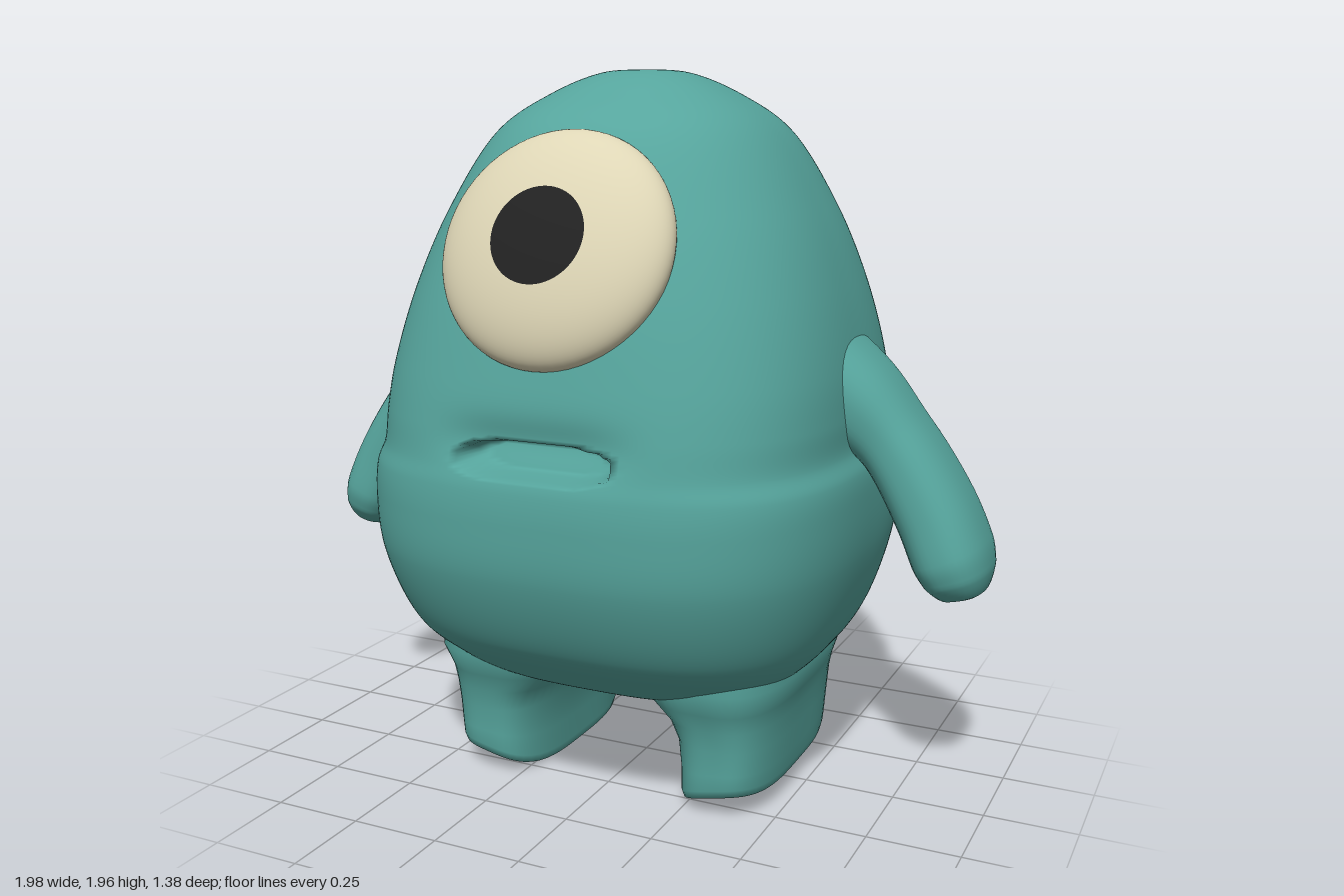
import * as THREE from 'three';

const skin = new THREE.MeshStandardMaterial({ color: 0x56a59d });
skin.name = 'teal skin';
const cream = new THREE.MeshStandardMaterial({ color: 0xded6b6 });
cream.name = 'cream eye';
const black = new THREE.MeshStandardMaterial({ color: 0x222222 });
black.name = 'black pupil';

const Z = new THREE.Vector3(0, 0, 1);

// Rounded-square ring: centre c, half-axis a along the vector ax, half-axis b along z
function ring(c, ax, a, b, n, seg) {
  return Array.from({ length: seg }, (_, j) => {
    const t = (j / seg) * Math.PI * 2;
    const cs = Math.cos(t), sn = Math.sin(t);
    const r = Math.pow(Math.abs(cs) ** n + Math.abs(sn) ** n, -1 / n);
    return c.clone().addScaledVector(ax, a * r * cs).addScaledVector(Z, b * r * sn);
  });
}

// Smooth closed skin through successive rings
function loft(rings) {
  const seg = rings[0].length, pos = [], idx = [];
  rings.forEach(r => r.forEach(p => pos.push(p.x, p.y, p.z)));
  for (let i = 0; i < rings.length - 1; i++) {
    for (let j = 0; j < seg; j++) {
      const k = (j + 1) % seg;
      const a = i * seg + j, b = i * seg + k, c = a + seg, d = b + seg;
      idx.push(a, c, b, b, c, d);
    }
  }
  const g = new THREE.BufferGeometry();
  g.setAttribute('position', new THREE.Float32BufferAttribute(pos, 3));
  g.setIndex(idx);
  g.computeVertexNormals();
  return g;
}

function mesh(name, geometry, material) {
  const m = new THREE.Mesh(geometry, material);
  m.name = name;
  return m;
}

// Egg-shaped body: height, half width, half depth
function bodyGeometry() {
  const profile = new THREE.CatmullRomCurve3([
    [0.295, 0.002, 0.002], [0.295, 0.24, 0.22], [0.325, 0.43, 0.37], [0.4, 0.54, 0.48],
    [0.5, 0.605, 0.585], [0.7, 0.662, 0.675], [0.85, 0.672, 0.69], [0.935, 0.665, 0.686],
    [0.99, 0.642, 0.676], [1.08, 0.638, 0.662], [1.2, 0.626, 0.638], [1.4, 0.58, 0.587],
    [1.6, 0.505, 0.513], [1.8, 0.385, 0.4], [1.9, 0.25, 0.25], [1.957, 0.11, 0.11],
    [1.962, 0.002, 0.002],
  ].map(p => new THREE.Vector3(...p)));
  const X = new THREE.Vector3(1, 0, 0);
  const rings = profile.getPoints(160).map(p => {
    const n = 3 - 0.7 * THREE.MathUtils.smoothstep(p.x, 0.9, 1.9);
    return ring(new THREE.Vector3(0, p.x, 0), X, Math.max(p.y, 0.001), Math.max(p.z, 0.001), n, 192);
  });
  // Lip crease and mouth hollow pressed into the front
  rings.forEach(r => r.forEach(p => {
    if (p.z < 0.4) return;
    const crease = Math.exp(-(((p.y - 1.05) / 0.06) ** 2) - (p.x / 0.24) ** 4);
    const e = (p.x / 0.215) ** 4 + ((p.y - 1.01) / 0.046) ** 2;
    p.z -= 0.025 * crease + 0.09 * (1 - THREE.MathUtils.smoothstep(e, 0.55, 1.05));
  }));
  return loft(rings);
}

// Arm hanging outwards: centre x, y, half thickness, half depth
function armGeometry(side) {
  const rows = [
    [0.5, 1.18, 0.15, 0.2], [0.62, 1.11, 0.12, 0.165], [0.73, 1.005, 0.095, 0.143],
    [0.835, 0.84, 0.1, 0.152], [0.885, 0.73, 0.1, 0.16], [0.908, 0.67, 0.088, 0.145],
    [0.922, 0.625, 0.06, 0.1], [0.926, 0.607, 0.002, 0.002],
  ];
  const path = new THREE.CatmullRomCurve3(rows.map(r => new THREE.Vector3(side * r[0], r[1], 0)));
  const size = new THREE.CatmullRomCurve3(rows.map(r => new THREE.Vector3(r[2], r[3], 0)));
  const rings = [];
  for (let i = 0; i <= 42; i++) {
    const t = i / 42, s = size.getPoint(t);
    const ax = path.getTangent(t).cross(Z).normalize();
    rings.push(ring(path.getPoint(t), ax, Math.max(s.x, 0.001), Math.max(s.y, 0.001), 2.5, 40));
  }
  return loft(rings);
}

// Stubby leg with a sole that rises outwards: y, centre x, half width, half depth
function legGeometry(side) {
  const rows = [
    [0, 0.345, 0.002, 0.002], [0, 0.345, 0.11, 0.28], [0.006, 0.345, 0.13, 0.33],
    [0.03, 0.345, 0.135, 0.341], [0.1, 0.347, 0.137, 0.342], [0.2, 0.345, 0.145, 0.345],
    [0.26, 0.335, 0.16, 0.358], [0.31, 0.315, 0.19, 0.375], [0.38, 0.31, 0.215, 0.41],
    [0.5, 0.3, 0.2, 0.4],
  ];
  const X = new THREE.Vector3(1, 0, 0);
  const rings = rows.map(([y, x, a, b]) => {
    const r = ring(new THREE.Vector3(side * x, y, 0), X, a, b, 3.2, 64);
    const lift = 1 - THREE.MathUtils.smoothstep(y, 0, 0.2);
    r.forEach(p => {
      p.y += lift * (0.06 * Math.max(0, (Math.abs(p.x) - 0.21) / 0.27) + 0.03 * (p.z / 0.34) ** 4);
    });
    return r;
  });
  return loft(rings);
}

// Flattened eyeball; the pupil is its central cap
function makeEye() {
  const eye = new THREE.Group();
  eye.name = 'eye';
  const cap = 0.41;
  eye.add(mesh('eyeball', new THREE.SphereGeometry(1, 64, 40, 0, Math.PI * 2, cap, Math.PI - cap), cream));
  eye.add(mesh('pupil', new THREE.SphereGeometry(1, 64, 10, 0, Math.PI * 2, 0, cap), black));
  eye.scale.set(0.315, 0.115, 0.31);
  eye.position.set(0, 1.52, 0.513);
  eye.rotation.x = Math.atan2(0.57, 0.245);
  return eye;
}

export function createModel() {
  const model = new THREE.Group();
  model.name = 'oneEyedCreature';
  model.add(mesh('body', bodyGeometry(), skin), makeEye());
  for (const [side, label] of [[1, 'left'], [-1, 'right']]) {
    model.add(mesh(label + 'Arm', armGeometry(side), skin));
    model.add(mesh(label + 'Leg', legGeometry(side), skin));
  }
  return model;
}
